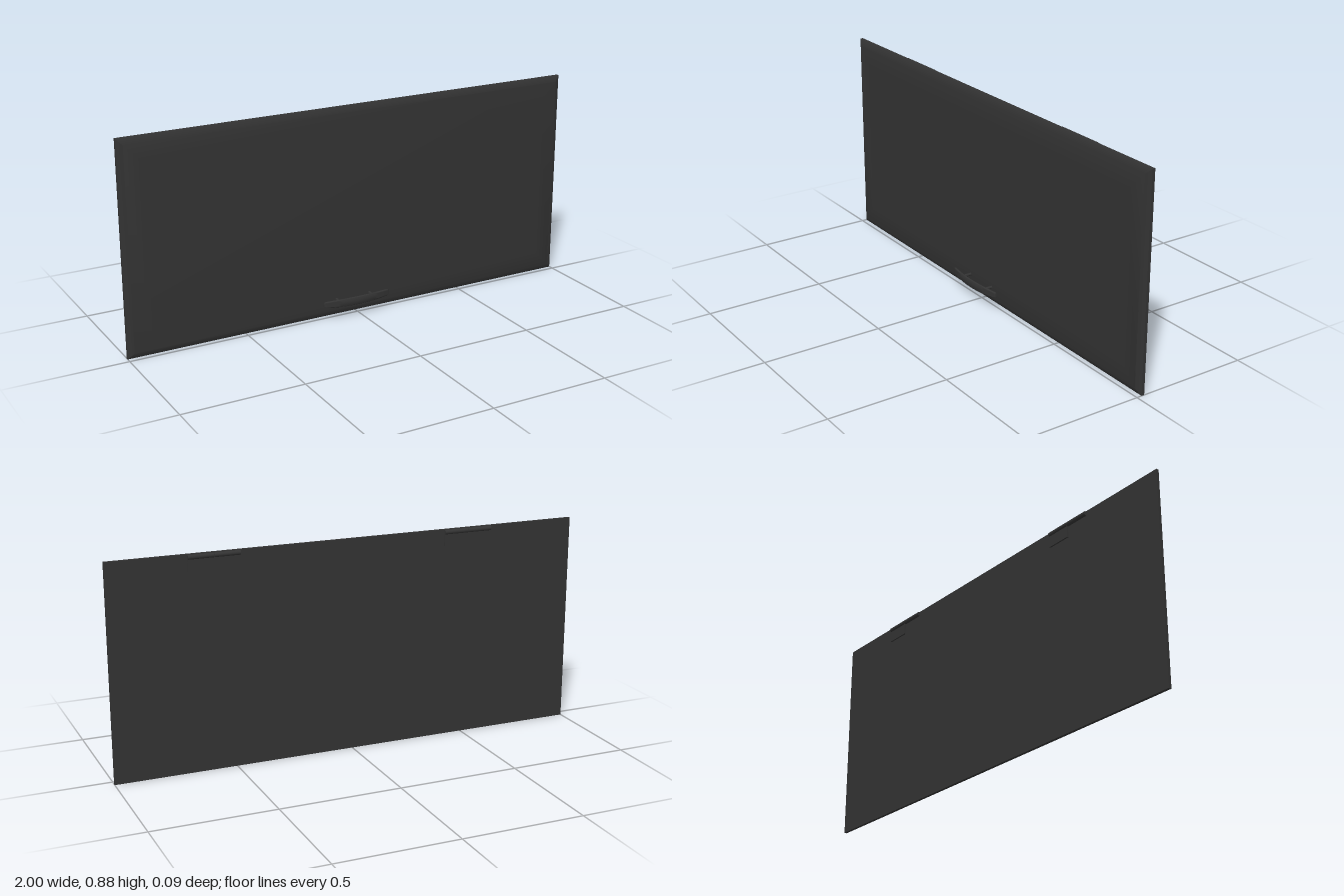
import * as THREE from 'three';
import { toCreasedNormals } from 'three/addons/utils/BufferGeometryUtils.js';

const material = new THREE.MeshStandardMaterial({ color: 0x333333 });

// Skin convex rings (counter-clockwise about the direction of travel) and cap both ends
function loft(rings, crease) {
  const n = rings[0].length;
  const last = (rings.length - 1) * n;
  const index = [];
  for (let i = 0; i < rings.length - 1; i++) {
    for (let j = 0; j < n; j++) {
      const a = i * n + j, b = i * n + (j + 1) % n;
      index.push(a, b, b + n, a, b + n, a + n);
    }
  }
  for (let j = 1; j < n - 1; j++) {
    index.push(0, j + 1, j, last, last + j, last + j + 1);
  }
  const geometry = new THREE.BufferGeometry();
  geometry.setAttribute('position', new THREE.Float32BufferAttribute(rings.flat(2), 3));
  geometry.setIndex(index);
  return toCreasedNormals(geometry, crease);
}

function add(parent, name, geometry, x = 0, y = 0, z = 0) {
  const mesh = new THREE.Mesh(geometry, material);
  mesh.name = name;
  mesh.position.set(x, y, z);
  parent.add(mesh);
  return mesh;
}

export function createModel() {
  const group = new THREE.Group();
  group.name = 'cabinetDoor';

  // Door panel with a bevel around the front face
  const W = 1, H = 0.883;
  const rect = (inset, z) => [
    [-W + inset, inset, z], [W - inset, inset, z],
    [W - inset, H - inset, z], [-W + inset, H - inset, z],
  ];
  add(group, 'doorPanel', loft([
    rect(0, -0.034), rect(0, -0.022), rect(0.024, -0.008), rect(0.1, -0.0075),
  ], 0.7));

  // Bowed handle bar, tapering towards its ends
  const handle = new THREE.Group();
  handle.name = 'handle';
  handle.position.set(-0.017, 0.07, 0);
  group.add(handle);
  const bow = (u) => 0.042 - 0.019 * u * u;
  const soft = (v) => Math.sign(v) * Math.sqrt(Math.abs(v));
  const rings = [];
  const steps = 24, sides = 16;
  for (let i = 0; i <= steps; i++) {
    const u = -Math.cos(Math.PI * i / steps);
    const tip = Math.pow(Math.max(0, 1 - u ** 16), 0.4);
    const halfY = (0.0175 - 0.004 * u * u) * (0.5 + 0.5 * tip);
    const ring = [];
    for (let j = 0; j < sides; j++) {
      const a = j / sides * Math.PI * 2;
      ring.push([0.152 * u, halfY * soft(Math.cos(a)), bow(u) + 0.0055 * soft(Math.sin(a))]);
    }
    rings.push(ring);
  }
  add(handle, 'handleBar', loft(rings, 0.9));

  // Posts joining the bar to the panel
  for (const side of [-1, 1]) {
    const length = 0.046;
    const post = add(handle, 'handlePost',
      new THREE.CylinderGeometry(0.006, 0.006, length, 16), side * 0.077, 0, -0.01 + length / 2);
    post.rotation.x = Math.PI / 2;
  }

  // Two hinges on the back, each a two-knuckle barrel with one leaf
  for (const x of [-0.513, 0.574]) {
    const hinge = new THREE.Group();
    hinge.name = 'hinge';
    hinge.position.set(x, 0.872, -0.037);
    group.add(hinge);
    for (const side of [-1, 1]) {
      const knuckle = add(hinge, 'hingeKnuckle',
        new THREE.CylinderGeometry(0.0095, 0.0095, 0.105, 16), side * 0.053);
      knuckle.rotation.z = Math.PI / 2;
    }
    add(hinge, 'hingeLeaf', new THREE.BoxGeometry(0.105, 0.057, 0.008), 0.053, -0.0285, 0.001);
  }
  return group;
}
